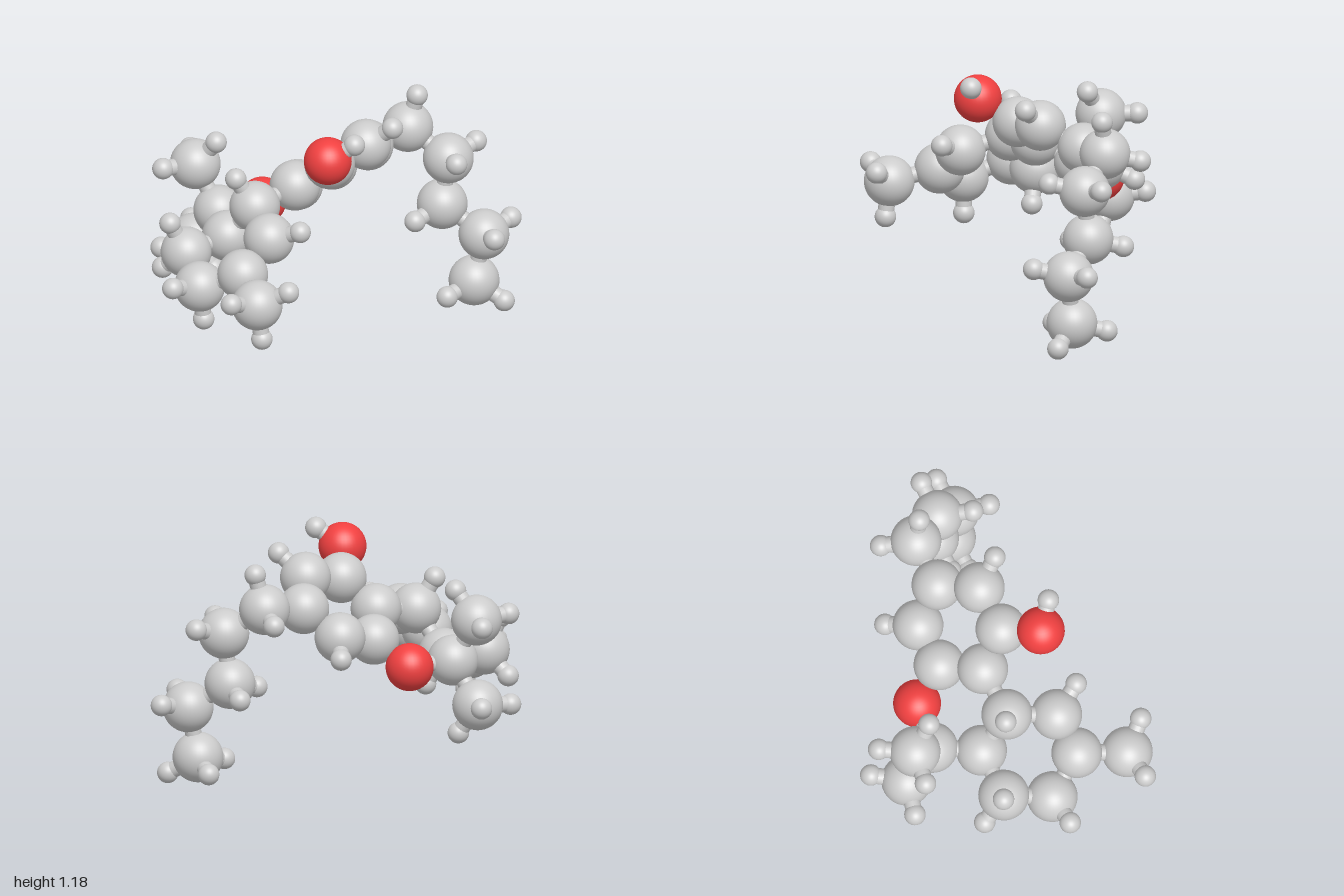
import * as THREE from 'three';

const CARBON_R = 0.123, OXYGEN_R = 0.116, HYDROGEN_R = 0.052, BOND_R = 0.04;
const CH = 0.176; // carbon to hydrogen distance

// Heavy atoms, by part of the molecule
const aromaticRing = {
  a1: [-0.06, 0.705, -0.21], a2: [0.15, 0.75, -0.25], a3: [0.275, 0.88, -0.115],
  a4: [0.165, 0.98, 0.065], a5: [-0.055, 0.94, 0.105], a6: [-0.175, 0.8, -0.025],
};
const oxygens = { oHydroxyl: [-0.157, 1.045, 0.275], oRing: [-0.175, 0.585, -0.357] };
const middleRing = {
  m1: [-0.415, 0.588, -0.355], m2: [-0.49, 0.56, -0.13], m3: [-0.42, 0.76, 0.02],
};
const outerRing = {
  r1: [-0.735, 0.54, -0.095], r2: [-0.785, 0.46, 0.135],
  r3: [-0.64, 0.56, 0.305], r4: [-0.47, 0.695, 0.257],
};
const methyls = {
  upperMethyl: [-0.485, 0.805, -0.465], lowerMethyl: [-0.47, 0.392, -0.503],
  frontMethyl: [-0.69, 0.505, 0.545],
};
const sideChain = {
  c1: [0.51, 0.914, -0.147], c2: [0.65, 0.778, 0.005], c3: [0.63, 0.53, -0.02],
  c4: [0.778, 0.397, 0.13], c5: [0.74, 0.149, 0.1],
};

// Bonded runs of heavy atoms
const runs = [
  'a1 a2 a3 a4 a5 a6 a1', 'a1 oRing m1 m2 m3 a6', 'm2 r1 r2 r3 r4 m3',
  'a5 oHydroxyl', 'upperMethyl m1 lowerMethyl', 'r3 frontMethyl', 'a3 c1 c2 c3 c4 c5',
];

// Hydrogens: one or two follow from the neighbours; methyls turn about their bond,
// with the first hydrogen away from (-1) or towards (+1) a reference atom
const singleH = ['a2', 'a4', 'm2', 'm3', 'r4'];
const doubleH = ['r1', 'r2', 'c1', 'c2', 'c3', 'c4'];
const tripleH = [
  ['upperMethyl', 'm1', 'oRing', -1], ['lowerMethyl', 'm1', 'oRing', -1],
  ['frontMethyl', 'r3', 'r4', 1], ['c5', 'c4', 'c3', -1],
];

export function createModel() {
  const model = new THREE.Group();
  model.name = 'molecule';
  const grey = new THREE.MeshStandardMaterial({ color: 0xcccccc });
  const red = new THREE.MeshStandardMaterial({ color: 0xf04040 });
  const ball = new THREE.SphereGeometry(1, 36, 24);
  const stick = new THREE.CylinderGeometry(BOND_R, BOND_R, 1, 20, 1, true);
  const up = new THREE.Vector3(0, 1, 0);
  const at = {}, neighbours = {};

  function addGroup(name) {
    const group = new THREE.Group();
    group.name = name;
    model.add(group);
    return group;
  }

  function addBall(group, name, position, radius, material) {
    const mesh = new THREE.Mesh(ball, material);
    mesh.name = name;
    mesh.position.copy(position);
    mesh.scale.setScalar(radius);
    group.add(mesh);
  }

  const bonds = addGroup('bonds');
  function addBond(from, to) {
    const mesh = new THREE.Mesh(stick, grey);
    const direction = to.clone().sub(from);
    mesh.name = 'bond';
    mesh.position.copy(from).lerp(to, 0.5);
    mesh.scale.y = direction.length();
    mesh.quaternion.setFromUnitVectors(up, direction.normalize());
    bonds.add(mesh);
  }

  // Carbon and oxygen balls
  const parts = { aromaticRing, oxygens, middleRing, outerRing, methyls, sideChain };
  for (const [partName, atoms] of Object.entries(parts)) {
    const group = addGroup(partName);
    const isOxygen = atoms === oxygens;
    for (const [key, p] of Object.entries(atoms)) {
      at[key] = new THREE.Vector3(...p);
      neighbours[key] = [];
      addBall(group, isOxygen ? 'oxygen' : 'carbon', at[key],
        isOxygen ? OXYGEN_R : CARBON_R, isOxygen ? red : grey);
    }
  }

  // Bonds between the heavy atoms
  for (const run of runs) {
    const keys = run.split(' ');
    for (let i = 1; i < keys.length; i++) {
      const a = keys[i - 1], b = keys[i];
      addBond(at[a], at[b]);
      neighbours[a].push(b);
      neighbours[b].push(a);
    }
  }

  // Hydrogen balls with their short bonds
  const hydrogens = addGroup('hydrogens');
  function addHydrogen(key, position) {
    addBall(hydrogens, 'hydrogen', position, HYDROGEN_R, grey);
    addBond(at[key], position);
  }
  const toward = (a, b) => at[b].clone().sub(at[a]).normalize();
  const awayFromNeighbours = (key) => neighbours[key]
    .reduce((sum, n) => sum.sub(toward(key, n)), new THREE.Vector3()).normalize();

  addHydrogen('oHydroxyl', new THREE.Vector3(-0.05, 1.134, 0.347));

  for (const key of singleH) {
    addHydrogen(key, at[key].clone().addScaledVector(awayFromNeighbours(key), CH));
  }

  for (const key of doubleH) {
    const [n1, n2] = neighbours[key];
    const out = awayFromNeighbours(key);
    const side = toward(key, n1).cross(toward(key, n2)).normalize();
    for (const s of [-1, 1]) {
      addHydrogen(key, at[key].clone()
        .addScaledVector(out, 0.58 * CH).addScaledVector(side, s * 0.815 * CH));
    }
  }

  for (const [key, parent, reference, sign] of tripleH) {
    const axis = toward(parent, key);
    const spoke = toward(parent, reference).projectOnPlane(axis).normalize().multiplyScalar(sign);
    for (let i = 0; i < 3; i++) {
      const turned = spoke.clone().applyAxisAngle(axis, (i * 2 * Math.PI) / 3);
      addHydrogen(key, at[key].clone()
        .addScaledVector(axis, 0.333 * CH).addScaledVector(turned, 0.943 * CH));
    }
  }

  return model;
}
